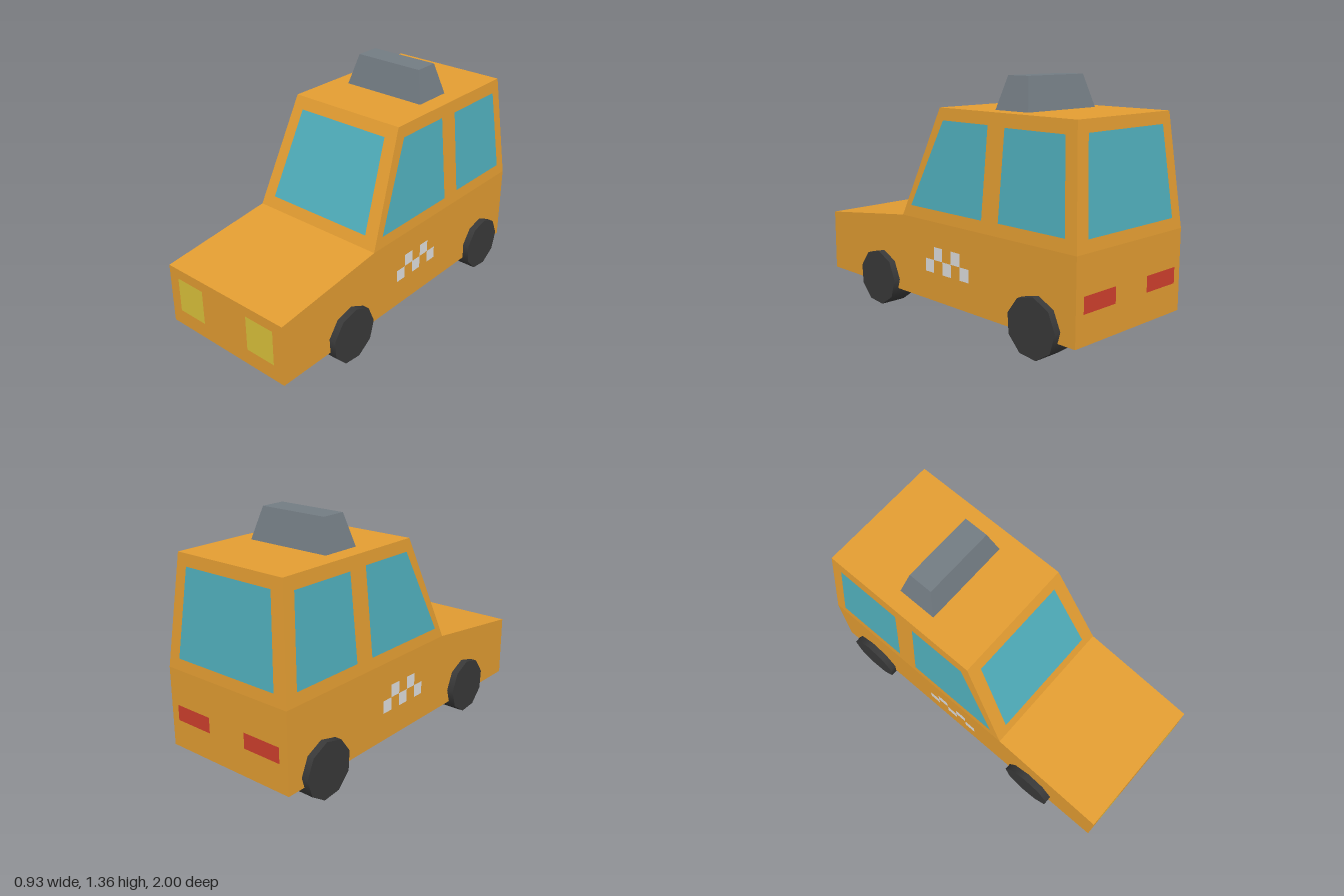
import * as THREE from 'three';

const mat = (name, color) => {
  const m = new THREE.MeshStandardMaterial({ color });
  m.name = name;
  return m;
};

const HALF = 0.425, ROOF_HALF = 0.365;          // half widths at belt and roof
const BELT = 0.567, ROOF = 1.19;                // belt and roof heights
const FRONT = 0.30, ROOF_FRONT = 0.037;         // cabin front at belt and roof
const BACK = -0.995, ROOF_BACK = -0.935;        // cabin back at belt and roof
const GAP = 0.004;                              // panels sit just off the bodywork

// Box whose lower and upper rectangles differ: each is [halfWidth, zBack, zFront, y]
function frustum(low, high) {
  const g = new THREE.BoxGeometry(1, 1, 1);
  const p = g.attributes.position;
  for (let i = 0; i < p.count; i++) {
    const r = p.getY(i) > 0 ? high : low;
    p.setXYZ(i, Math.sign(p.getX(i)) * r[0], r[3], p.getZ(i) > 0 ? r[2] : r[1]);
  }
  g.computeVertexNormals();
  return g;
}

// Flat four-cornered panel, turned to face away from the car's middle
function panel(corners) {
  let v = corners.map((c) => new THREE.Vector3(...c));
  const normal = v[1].clone().sub(v[0]).cross(v[2].clone().sub(v[0]));
  const middle = v[0].clone().add(v[2]).multiplyScalar(0.5).sub(new THREE.Vector3(0, 0.5, 0));
  if (normal.dot(middle) < 0) v = v.reverse();
  const g = new THREE.BufferGeometry().setFromPoints([v[0], v[1], v[2], v[0], v[2], v[3]]);
  g.computeVertexNormals();
  return g;
}

const rect = (u0, u1, v0, v1) => [[u0, v0], [u1, v0], [u1, v1], [u0, v1]];

export function createModel() {
  const car = new THREE.Group();
  car.name = 'car';
  const paint = mat('orange paint', 0xe39d32);
  const glass = mat('teal glass', 0x50afbc);
  const grey = mat('sign grey', 0x737c83);
  const rubber = mat('dark rubber', 0x393939);
  const white = mat('light checker', 0xe0e0e0);
  const yellow = mat('yellow lamp', 0xdcc23b);
  const red = mat('red lamp', 0xd0402d);

  const add = (name, geometry, material) => {
    const m = new THREE.Mesh(geometry, material);
    m.name = name;
    car.add(m);
    return m;
  };

  // Lower body: side profile (z, y) extruded across the width
  const profile = new THREE.Shape(
    [[1, 0.12], [1, 0.48], [FRONT, BELT], [BACK, BELT], [BACK, 0.112]].map((p) => new THREE.Vector2(...p))
  );
  const lower = new THREE.ExtrudeGeometry(profile, { depth: 2 * HALF, bevelEnabled: false });
  lower.rotateY(-Math.PI / 2).translate(HALF, 0, 0);
  add('lowerBody', lower, paint);

  // Cabin and roof sign
  add('cabin', frustum([HALF, BACK, FRONT, BELT], [ROOF_HALF, ROOF_BACK, ROOF_FRONT, ROOF]), paint);
  add('roofSign', frustum([0.263, -0.525, -0.29, ROOF], [0.213, -0.478, -0.333, 1.37]), grey);

  // Cabin wall positions at a given height
  const at = (a, b, y) => THREE.MathUtils.lerp(a, b, Math.max(0, (y - BELT) / (ROOF - BELT)));
  const onSide = (s) => ([z, y]) => [s * (at(HALF, ROOF_HALF, y) + GAP), y, z];
  const onScreen = ([x, y]) => [x, y, at(FRONT, ROOF_FRONT, y) + GAP];
  const onBack = ([x, y]) => [x, y, at(BACK, ROOF_BACK, y) - GAP];
  const onNose = ([x, y]) => [x, y, 1 + GAP / 4];

  // Front and rear glass
  const screen = [[-0.342, 0.633], [0.342, 0.633], [0.297, 1.125], [-0.297, 1.125]];
  add('windshield', panel(screen.map(onScreen)), glass);
  add('rearWindow', panel(screen.map(onBack)), glass);

  for (const s of [1, -1]) {
    const side = s > 0 ? 'left' : 'right';

    // Side windows
    const frontDoor = [[0.227, 0.633], [-0.348, 0.633], [-0.348, 1.123], [0, 1.123]];
    const rearDoor = [[-0.47, 0.637], [-0.918, 0.637], [-0.872, 1.118], [-0.47, 1.118]];
    add(side + 'FrontWindow', panel(frontDoor.map(onSide(s))), glass);
    add(side + 'BackWindow', panel(rearDoor.map(onSide(s))), glass);

    // Five staggered checker squares
    for (let i = 0; i < 5; i++) {
      const z = 0.097 - i * 0.0705, y = i % 2 ? 0.353 : 0.279;
      add(side + 'Checker', panel(rect(z - 0.0705, z, y, y + 0.074).map(onSide(s))), white);
    }

    // Lamps
    add(side + 'Headlight', panel(rect(s * 0.165, s * 0.357, 0.214, 0.421).map(onNose)), yellow);
    add(side + 'Taillight', panel(rect(s * 0.128, s * 0.372, 0.274, 0.363).map(onBack)), red);

    // Nine-sided wheels; the right front one sits slightly forward and higher
    const frontHub = s > 0 ? [0.19 - 0.027, 0.505] : [0.187, 0.54];
    for (const [name, [y, z]] of [['FrontWheel', frontHub], ['BackWheel', [0.163, -0.74]]]) {
      const g = new THREE.CylinderGeometry(0.162, 0.162, 0.157, 9);
      g.rotateZ(Math.PI / 2).rotateX(Math.PI + 0.07);
      add(side + name, g, rubber).position.set(s * 0.386, y, z);
    }
  }
  return car;
}
